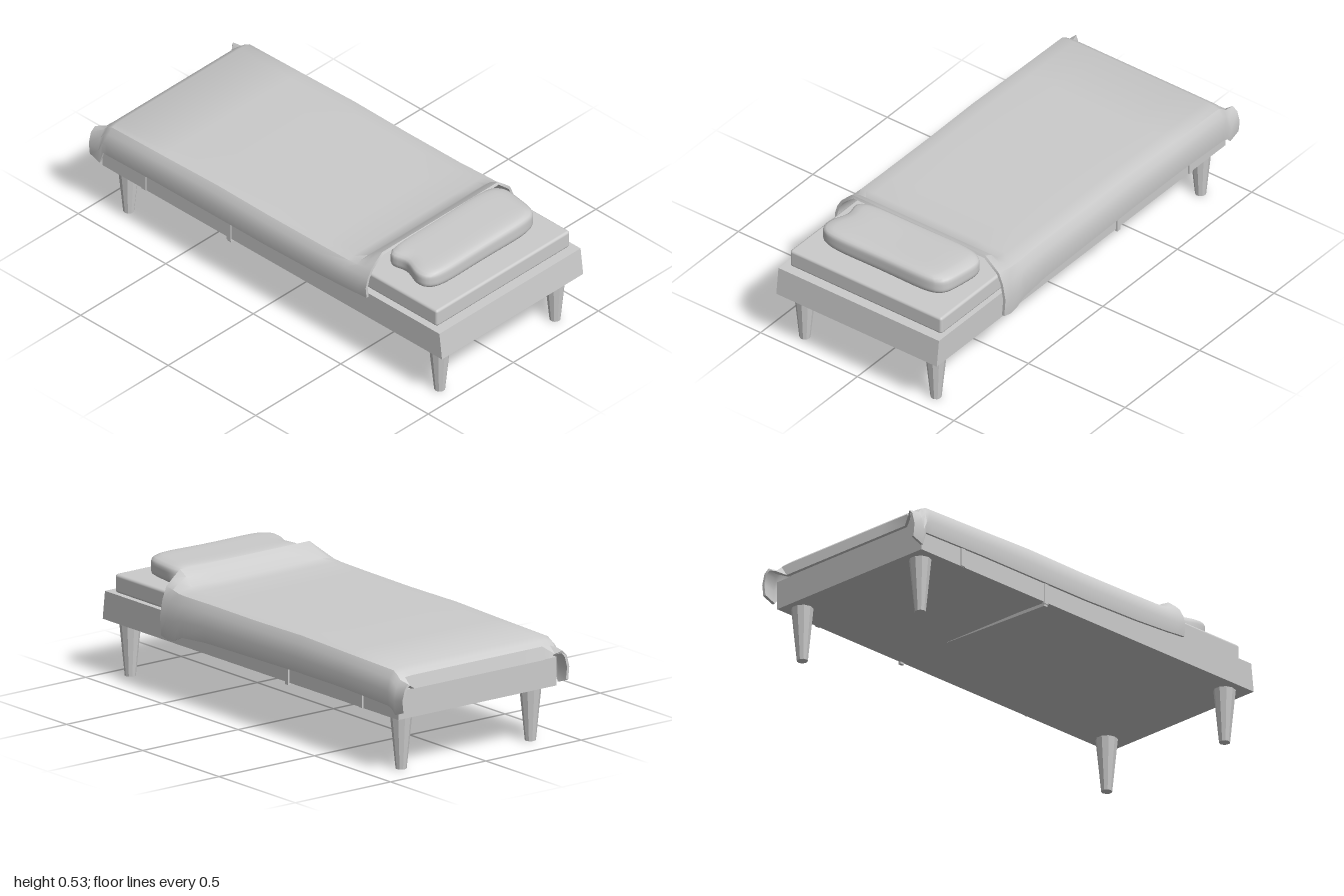
import * as THREE from 'three';
import { mergeVertices, toCreasedNormals } from 'three/addons/utils/BufferGeometryUtils.js';
import { RoundedBoxGeometry } from 'three/addons/geometries/RoundedBoxGeometry.js';

const material = new THREE.MeshStandardMaterial({ color: 0xcccccc });
const { lerp, smoothstep } = THREE.MathUtils;

function part(name, geometry, x = 0, y = 0, z = 0) {
  const mesh = new THREE.Mesh(geometry, material);
  mesh.name = name;
  mesh.position.set(x, y, z);
  return mesh;
}

// Move every vertex of a geometry by a rule
function warp(geometry, rule) {
  const p = geometry.attributes.position;
  const v = new THREE.Vector3();
  for (let i = 0; i < p.count; i++) {
    rule(v.fromBufferAttribute(p, i));
    p.setXYZ(i, v.x, v.y, v.z);
  }
  geometry.computeVertexNormals();
  return geometry;
}

// Give a grid of points (rows x cols) thickness and close its border
function thickSheet(points, rows, cols, thickness) {
  const id = (i, j) => i * cols + j;
  const outer = [];
  for (let i = 0; i < rows - 1; i++) {
    for (let j = 0; j < cols - 1; j++) {
      const a = id(i, j), b = id(i, j + 1), c = id(i + 1, j), d = id(i + 1, j + 1);
      outer.push(a, b, c, b, d, c);
    }
  }
  const sheet = new THREE.BufferGeometry().setFromPoints(points);
  sheet.setIndex(outer);
  sheet.computeVertexNormals();
  const n = points.length;
  const normal = new THREE.Vector3();
  const inner = points.map((p, k) =>
    p.clone().addScaledVector(normal.fromBufferAttribute(sheet.attributes.normal, k), -thickness));
  const index = [...outer];
  for (let k = 0; k < outer.length; k += 3) index.push(outer[k] + n, outer[k + 2] + n, outer[k + 1] + n);
  const wall = (a, b) => index.push(a, a + n, b, b, a + n, b + n);
  for (let j = 0; j < cols - 1; j++) {
    wall(id(0, j), id(0, j + 1));
    wall(id(rows - 1, j + 1), id(rows - 1, j));
  }
  for (let i = 0; i < rows - 1; i++) {
    wall(id(i + 1, 0), id(i, 0));
    wall(id(i, cols - 1), id(i + 1, cols - 1));
  }
  const solid = new THREE.BufferGeometry().setFromPoints([...points, ...inner]);
  solid.setIndex(index);
  return toCreasedNormals(solid, 0.6);
}

function blanketGeometry() {
  // x, top height, front hem, back hem, lift over the pillow
  const stations = [
    [-1.0, 0.41, 0.27, 0.28, 0],
    [-0.945, 0.415, 0.25, 0.26, 0],
    [-0.925, 0.432, 0.31, 0.28, 0],
    [-0.9, 0.446, 0.31, 0.29, 0],
    [-0.6, 0.452, 0.315, 0.30, 0],
    [-0.3, 0.46, 0.315, 0.30, 0],
    [0, 0.456, 0.315, 0.295, 0],
    [0.3, 0.458, 0.322, 0.29, 0],
    [0.45, 0.46, 0.33, 0.28, 0],
    [0.5, 0.462, 0.333, 0.255, 0.006],
    [0.54, 0.465, 0.337, 0.25, 0.038],
    [0.582, 0.467, 0.34, 0.26, 0.058],
  ];
  // z and share of the drop from hem (0) to top (1)
  const half = [[0.432, 0], [0.438, 0.4], [0.425, 0.75], [0.405, 0.94], [0.38, 0.985], [0.34, 1], [0.2, 1]];
  const profile = [...half.map(([z, h]) => [-z, h]), [0, 1], ...[...half].reverse()];
  const points = [];
  stations.forEach(([x, top, front, back, lift], i) => {
    profile.forEach(([z, h]) => {
      const side = smoothstep(Math.abs(z), 0.34, 0.42);
      // The foot edge tucks in between two flared corners
      const px = i === 0 ? lerp(-0.957, x, side) : x;
      const crest = i === 0 ? lerp(0.36, top, side) : top;
      const rise = lift * Math.min(1, Math.max(0, (0.42 - Math.abs(z)) / 0.08));
      const spread = z < -0.4 && x > 0.4 ? 1.015 : 1;
      points.push(new THREE.Vector3(px, lerp(z > 0 ? front : back, crest, h) + rise, z * spread));
    });
  });
  return thickSheet(points, stations.length, profile.length, 0.012);
}

function pillowGeometry() {
  let g = new THREE.BoxGeometry(2, 2, 2, 16, 10, 28);
  g.deleteAttribute('normal');
  g.deleteAttribute('uv');
  g = mergeVertices(g);
  return warp(g, (v) => {
    // Round the cube, then stretch it with pinched ends and a sagging middle
    const [ax, ay, az] = [v.x, v.y, v.z].map(Math.abs);
    const k = Math.max(ax, ay, az) / Math.pow(ax ** 5 + ay ** 5 + az ** 5, 1 / 5);
    v.multiplyScalar(k);
    const { x, y, z } = v;
    const dip = 0.035 * Math.exp(-(((x + 0.25) / 0.45) ** 2));
    const end = z > 0 ? 0.335 - dip : 0.343 - 0.025 * smoothstep(x, -0.7, 1);
    v.set(
      x * 0.147 - (x > 0 ? 0.012 * (1 - z * z) * x : 0),
      y * 0.049 + (y > 0 ? 0.006 * y * (z * z - 0.6) : 0) - (y > 0 ? 0.004 * z * y : 0),
      z * end,
    );
  });
}

export function createModel() {
  const bed = new THREE.Group();
  bed.name = 'bed';

  // Solid base with a slightly raked head end
  const frame = warp(new THREE.BoxGeometry(1.94, 0.122, 0.83), (v) => {
    if (v.x > 0 && v.y > 0) v.x -= 0.015;
  });
  bed.add(part('frame', frame, 0.03, 0.295, 0.004));

  // Tapered legs
  for (const x of [-0.867, 0.91]) {
    for (const z of [-0.338, 0.34]) {
      const leg = new THREE.CylinderGeometry(0.047, 0.023, 0.24, 10);
      bed.add(part('leg', toCreasedNormals(leg, 0.5), x, 0.12, z));
    }
  }

  // Narrow joint strips on both long sides
  for (const z of [-0.412, 0.418]) {
    bed.add(part('jointStrip', new THREE.BoxGeometry(0.022, 0.09, 0.012), -0.7, 0.28, z));
    bed.add(part('jointStrip', new THREE.BoxGeometry(0.022, 0.1, 0.012), -0.215, 0.275, z));
  }

  // Tilted brace under the base
  const brace = part('underBrace', new THREE.BoxGeometry(0.018, 0.014, 0.56), -0.215, 0.231, 0.14);
  brace.rotation.x = 0.03;
  bed.add(brace);

  bed.add(part('mattress', new RoundedBoxGeometry(1.835, 0.08, 0.785, 2, 0.012), 0.0275, 0.395, 0));
  bed.add(part('pillow', pillowGeometry(), 0.71, 0.482, 0));
  bed.add(part('blanket', blanketGeometry()));
  return bed;
}
